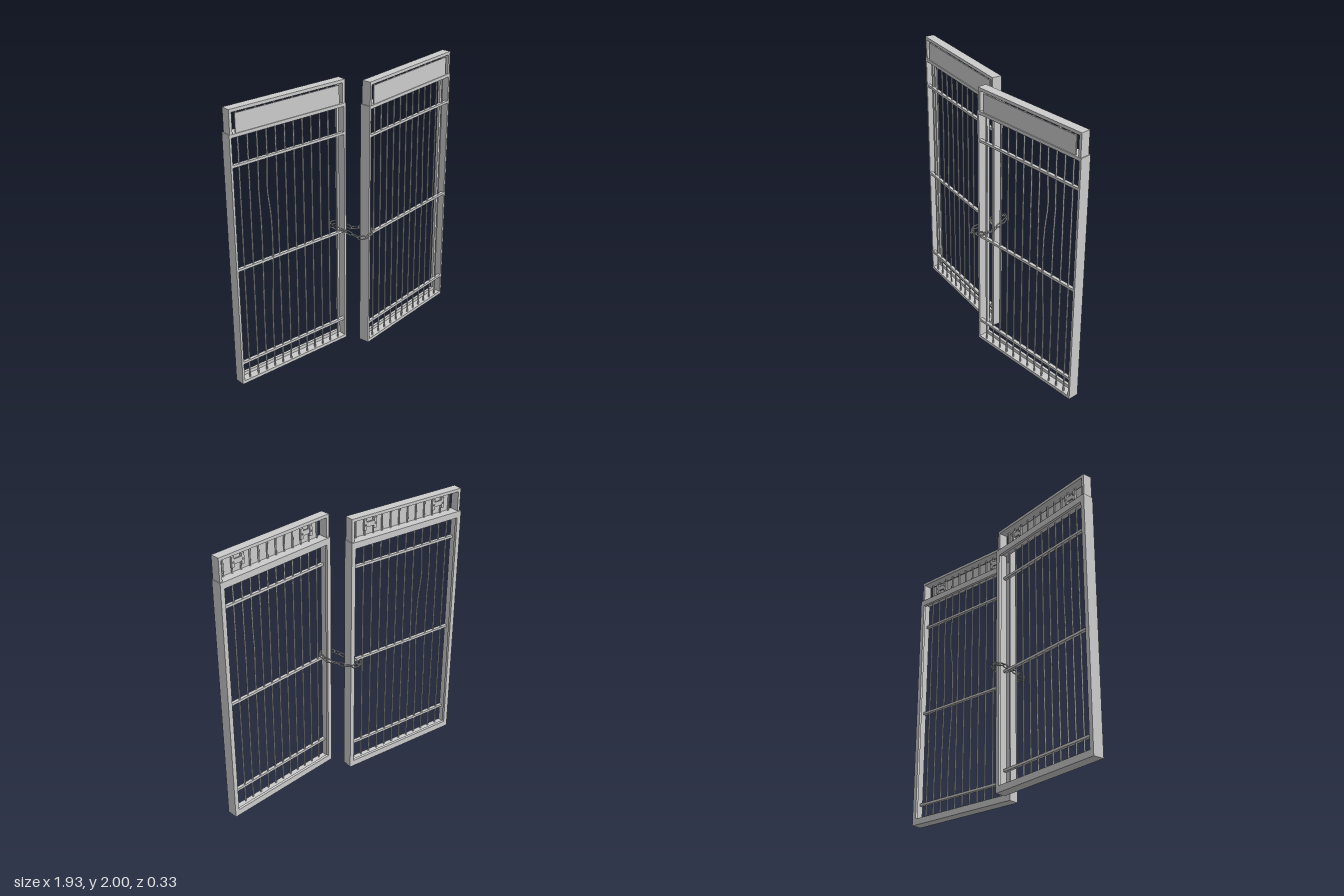
import * as THREE from 'three';

const material = new THREE.MeshStandardMaterial({ color: 0xcccccc });
const W = 0.94, H = 1.835, D = 0.08;        // leaf size
const BARS = 12, PITCH = 0.0724;

function add(parent, name, geometry, x = 0, y = 0, z = 0) {
  const mesh = new THREE.Mesh(geometry, material);
  mesh.name = name;
  mesh.position.set(x, y, z);
  parent.add(mesh);
  return mesh;
}
const box = (parent, name, w, h, d, x, y, z) =>
  add(parent, name, new THREE.BoxGeometry(w, h, d), x, y, z);

// rectangular ring of four sides, side width sx, top/bottom height sy
function ring(parent, name, w, y0, y1, sx, sy, z0, z1) {
  const shape = new THREE.Shape([[-w / 2, y0], [w / 2, y0], [w / 2, y1], [-w / 2, y1]]
    .map(p => new THREE.Vector2(...p)));
  const a = w / 2 - sx;
  shape.holes.push(new THREE.Path([[-a, y0 + sy], [-a, y1 - sy], [a, y1 - sy], [a, y0 + sy]]
    .map(p => new THREE.Vector2(...p))));
  add(parent, name, new THREE.ExtrudeGeometry(shape, { depth: z1 - z0, bevelEnabled: false }), 0, 0, z0);
}

// slightly dented bar
function bentBar(parent, x, z, side, strength) {
  const points = [[0.02, 0, 0], [0.5, 0, 0], [0.72, 0.7, 0.5], [1.0, 1, 1], [1.2, 0.9, 0.4],
    [1.4, -0.4, -0.5], [1.6, 0, 0], [1.815, 0, 0]].map(([y, dx, dz]) =>
    new THREE.Vector3(x + side * dx * strength, y, z + dz * strength));
  add(parent, 'bentBar', new THREE.TubeGeometry(new THREE.CatmullRomCurve3(points), 40, 0.006, 8));
}

// clamp that holds the sign plate to the bars
function clamp(parent, x) {
  const g = new THREE.Group();
  g.name = 'plateClamp';
  g.position.set(x, 1.915, 0.006);
  parent.add(g);
  box(g, 'clampStrap', 0.1, 0.035, 0.01, 0, 0, 0);
  for (const s of [-1, 1]) {
    box(g, 'clampEnd', 0.022, 0.075, 0.014, s * 0.04, 0, 0);
    add(g, 'clampBolt', new THREE.CylinderGeometry(0.006, 0.006, 0.03, 8), s * 0.04, 0, 0).rotation.x = Math.PI / 2;
  }
}

function createLeaf(name, side) {
  const leaf = new THREE.Group();
  leaf.name = name;

  // lower frame: thin deep rim and a wider flange at the back
  ring(leaf, 'frameRim', W, 0, H, 0.016, 0.023, -D / 2 + 0.02, D / 2);
  ring(leaf, 'frameBackFlange', W, 0, H, 0.032, 0.047, -D / 2, -D / 2 + 0.02);

  // horizontal rails
  for (const y of [0.165, 0.885, 1.62])
    box(leaf, 'rail', W - 0.03, 0.018, 0.024, 0, y, 0.026);

  // vertical bars, two of them dented
  for (let i = 0; i < BARS; i++) {
    const x = side * (i - (BARS - 1) / 2) * PITCH;
    if (i === 2 || i === 3) bentBar(leaf, x, 0.024, side, i === 3 ? 0.011 : 0.004);
    else add(leaf, 'bar', new THREE.CylinderGeometry(0.006, 0.006, 1.795, 8), x, 0.9175, 0.024);
    add(leaf, 'upperBar', new THREE.CylinderGeometry(0.006, 0.006, 0.16, 8), x, 1.908, 0.018);
  }

  // upper frame with the solid plate
  for (const s of [-1, 1])
    box(leaf, 'upperPost', 0.02, 0.16, 0.068, s * (W / 2 - 0.016), H + 0.07, 0.004);
  box(leaf, 'upperRail', W - 0.012, 0.022, 0.068, 0, 1.989, 0.004);
  box(leaf, 'plate', 0.835, 0.133, 0.008, 0, 1.9, 0.03);
  for (const s of [-1, 1]) clamp(leaf, s * 0.29);
  return leaf;
}

// closed loop of oval links, every other link turned by a quarter
function createChain() {
  const chain = new THREE.Group();
  chain.name = 'chain';
  const path = new THREE.CatmullRomCurve3([
    [-0.09, 0.905, -0.13], [-0.045, 0.91, -0.155], [-0.003, 0.9, -0.11], [0.022, 0.89, -0.035],
    [0.075, 0.905, 0.035], [0.07, 0.91, 0.12], [0.01, 0.895, 0.15], [-0.04, 0.89, 0.125],
    [-0.055, 0.895, 0.07], [-0.065, 0.9, 0], [-0.085, 0.905, -0.07],
  ].map(p => new THREE.Vector3(...p)), true);
  // oval: two straight runs joined by half circles
  const r = 0.012, half = 0.017, oval = [];
  for (let i = 0; i < 16; i++) {
    const a = (i + 0.5) / 16 * Math.PI * 2;
    oval.push(new THREE.Vector3(Math.cos(a) * r, 0, Math.sin(a) * r + Math.sign(Math.sin(a)) * half));
  }
  const geometry = new THREE.TubeGeometry(new THREE.CatmullRomCurve3(oval, true), 32, 0.0045, 8, true);
  const count = 14;
  for (let i = 0; i < count; i++) {
    const p = path.getPointAt(i / count);
    const link = add(chain, 'chainLink', geometry, p.x, p.y, p.z);
    link.lookAt(p.clone().add(path.getTangentAt(i / count)));
    link.rotateZ(i % 2 ? Math.PI / 2 : 0.2);
  }
  return chain;
}

export function createModel() {
  const gate = new THREE.Group();
  gate.name = 'chainedGate';
  const rightLeaf = createLeaf('rightLeaf', 1);
  rightLeaf.position.set(-0.5, 0, -0.077);
  const leftLeaf = createLeaf('leftLeaf', -1);
  leftLeaf.position.set(0.495, 0, 0.005);
  leftLeaf.rotation.y = THREE.MathUtils.degToRad(10);
  gate.add(rightLeaf, leftLeaf, createChain());
  return gate;
}
